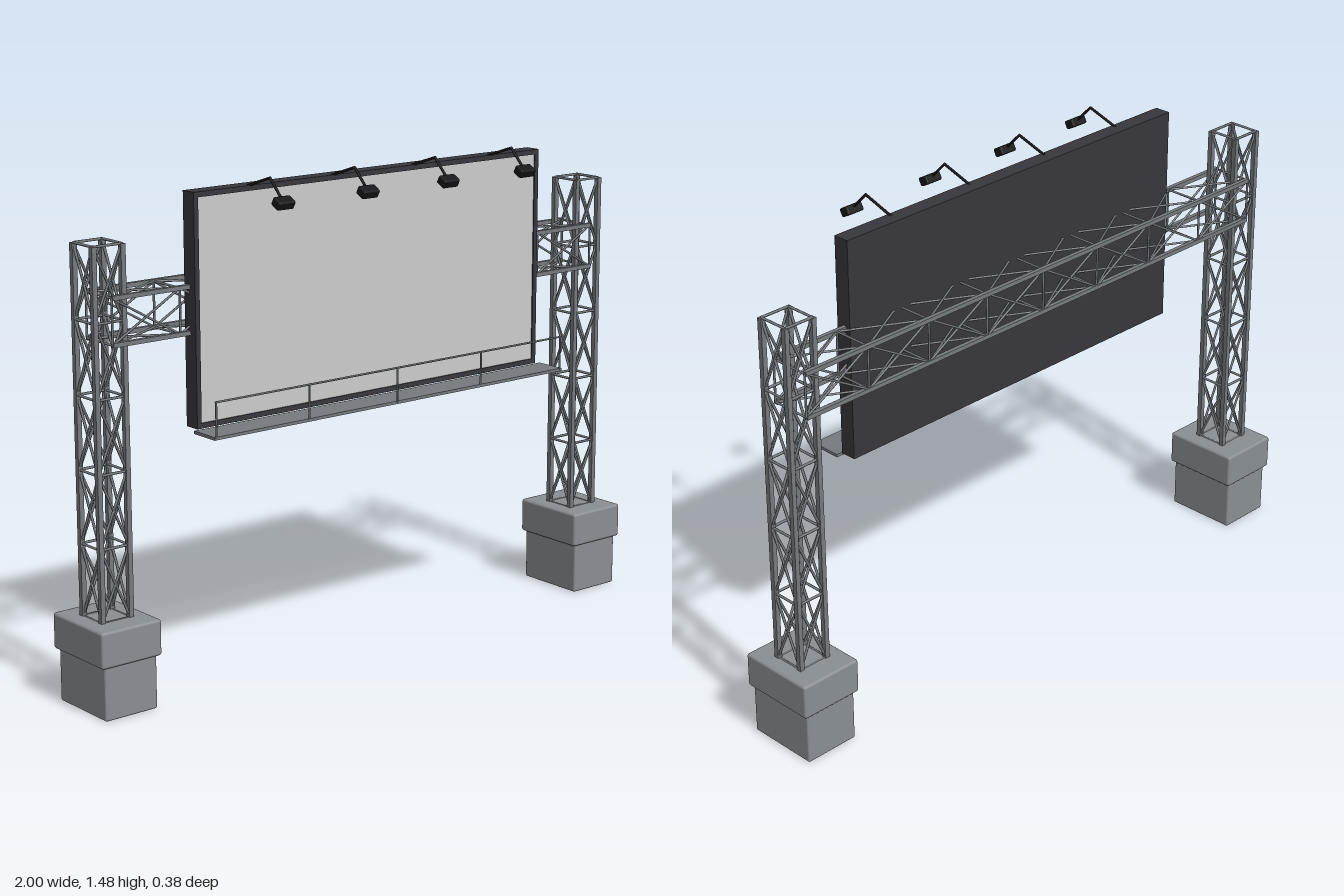
import * as THREE from 'three';
import { RoundedBoxGeometry } from 'three/addons/geometries/RoundedBoxGeometry.js';

const V = (x, y, z) => new THREE.Vector3(x, y, z);

function material(name, color) {
  const m = new THREE.MeshStandardMaterial({ color });
  m.name = name;
  return m;
}

export function createModel() {
  const concrete = material('concrete', 0x8a8f94);
  const steel = material('steel', 0x767b7f);
  const frameDark = material('dark frame', 0x38373d);
  const panelGrey = material('panel grey', 0xcccccc);
  const black = material('black', 0x18181a);

  const model = new THREE.Group();
  model.name = 'billboard';
  const group = (name, parent = model) => {
    const g = new THREE.Group();
    g.name = name;
    parent.add(g);
    return g;
  };
  const add = (parent, name, geometry, mat, x, y, z) => {
    const m = new THREE.Mesh(geometry, mat);
    m.name = name;
    m.position.set(x, y, z);
    parent.add(m);
    return m;
  };
  const box = (parent, name, w, h, d, mat, x, y, z) =>
    add(parent, name, new THREE.BoxGeometry(w, h, d), mat, x, y, z);

  // Bar between two points; four sides give a square tube
  function bar(parent, name, a, b, size, mat, sides = 6) {
    const dir = b.clone().sub(a);
    const r = sides === 4 ? size / Math.SQRT2 : size / 2;
    const g = new THREE.CylinderGeometry(r, r, dir.length(), sides);
    if (sides === 4) g.rotateY(Math.PI / 4);
    const m = add(parent, name, sides === 4 ? g.toNonIndexed() : g, mat, 0, 0, 0);
    if (sides === 4) m.geometry.computeVertexNormals();
    m.position.copy(a).add(b).multiplyScalar(0.5);
    m.quaternion.setFromUnitVectors(V(0, 1, 0), dir.normalize());
  }

  // Four-chord lattice: at(t, u, v) maps a length and two side offsets to a point
  function lattice(parent, at, start, end, bays, halfU, halfV, chord, brace) {
    const corners = [[-1, -1], [1, -1], [1, 1], [-1, 1]].map(([u, v]) => [u * halfU, v * halfV]);
    const step = (end - start) / bays;
    corners.forEach((c, i) => {
      const d = corners[(i + 1) % 4];
      bar(parent, 'chord', at(start, ...c), at(end, ...c), chord, steel, 4);
      for (let k = 0; k <= bays; k++) {
        const t = start + k * step;
        bar(parent, 'rung', at(t, ...c), at(t, ...d), brace, steel);
        if (k === bays) continue;
        bar(parent, 'diagonal', at(t, ...c), at(t + step, ...d), brace, steel);
        bar(parent, 'diagonal', at(t, ...d), at(t + step, ...c), brace, steel);
      }
    });
  }

  const zc = -0.0675; // depth of the supporting structure

  // Footings and towers
  for (const side of [-1, 1]) {
    const x = side * 0.9;
    const label = side > 0 ? 'left' : 'right';
    const footing = group(label + 'Footing');
    add(footing, 'footingBase', new RoundedBoxGeometry(0.174, 0.16, 0.228, 2, 0.006), concrete, x, 0.08, zc);
    add(footing, 'footingCap', new RoundedBoxGeometry(0.2, 0.106, 0.246, 2, 0.008), concrete, x, 0.209, zc);
    lattice(group(label + 'Tower'), (t, u, v) => V(x + u, t, zc + v),
      0.26, 1.318, 5, 0.047, 0.047, 0.015, 0.008);
  }

  // Horizontal truss joining the towers
  lattice(group('crossTruss'), (t, u, v) => V(t, 1.11 + u, zc + v),
    -0.9, 0.9, 8, 0.065, 0.062, 0.013, 0.007);

  // Display panel with a raised border
  const board = group('displayBoard');
  box(board, 'boardBody', 1.29, 0.665, 0.043, frameDark, 0, 1.1075, -0.0035);
  box(board, 'displayFace', 1.262, 0.637, 0.004, panelGrey, 0, 1.1075, 0.019);
  for (const s of [-1, 1]) {
    box(board, 'borderRail', 1.29, 0.015, 0.008, frameDark, 0, 1.1075 + s * 0.325, 0.021);
    box(board, 'borderStile', 0.015, 0.665, 0.008, frameDark, s * 0.6375, 1.1075, 0.021);
  }

  // Service walkway and guard rail
  const walkway = group('walkway');
  box(walkway, 'walkwayDeck', 1.32, 0.009, 0.097, steel, 0, 0.77, 0.078);
  for (let i = -2; i <= 2; i++) {
    const x = i * 0.3265;
    bar(walkway, 'railPost', V(x, 0.77, 0.125), V(x, 0.874, 0.125), 0.006, steel);
  }
  bar(walkway, 'guardRail', V(-0.656, 0.873, 0.125), V(0.656, 0.873, 0.125), 0.006, steel);

  // Floodlights on bent arms
  for (const x of [-0.45, -0.15, 0.15, 0.45]) {
    const lamp = group('floodlight');
    const path = [V(x, 1.437, 0.01), V(x, 1.471, 0.113), V(x, 1.42, 0.163)];
    bar(lamp, 'lampArm', path[0], path[1], 0.008, black, 8);
    bar(lamp, 'lampArm', path[1], path[2], 0.008, black, 8);
    add(lamp, 'lampElbow', new THREE.SphereGeometry(0.004, 8, 6), black, x, 1.471, 0.113);
    const head = add(lamp, 'lampHead', new RoundedBoxGeometry(0.058, 0.026, 0.034, 2, 0.005), black, x, 1.409, 0.172);
    head.rotation.x = 0.5;
  }

  return model;
}
